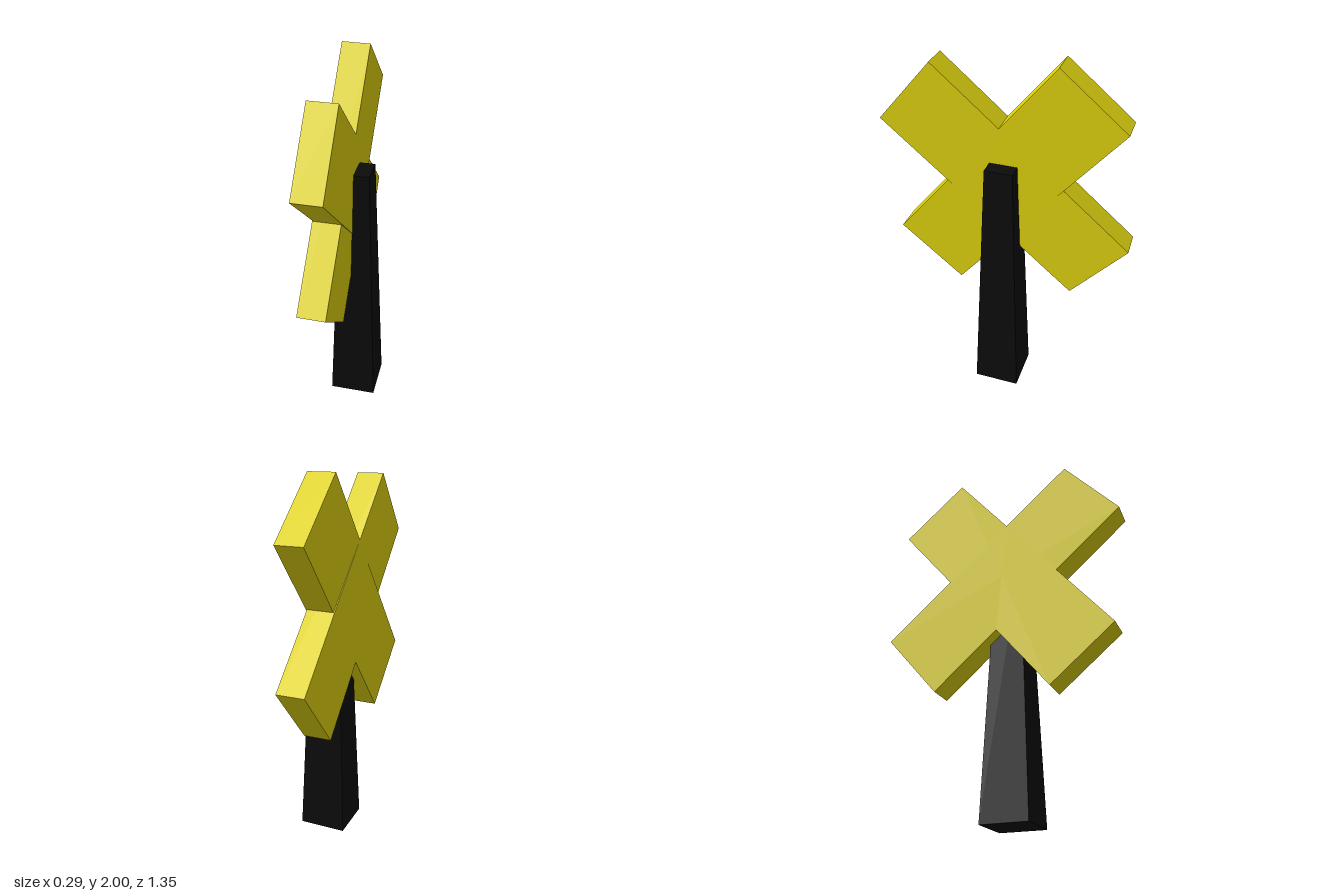
import * as THREE from 'three';

export function createModel() {
  const model = new THREE.Group();
  model.name = 'windmill';

  const yellow = new THREE.MeshStandardMaterial({ color: 0xe0d410, flatShading: true });
  const black = new THREE.MeshStandardMaterial({ color: 0x0c0c0c, flatShading: true });

  // Tapered square tower
  const height = 1.44;
  const towerGeometry = new THREE.CylinderGeometry(0.075 * Math.SQRT2, 0.128 * Math.SQRT2, height, 4);
  towerGeometry.rotateY(Math.PI / 4);
  const tower = new THREE.Mesh(towerGeometry, black);
  tower.name = 'tower';
  tower.position.set(0.017, height / 2, 0.008);
  model.add(tower);

  // Two crossed bars form the four sails, each leaning slightly along its length
  const sails = new THREE.Group();
  sails.name = 'sails';
  sails.position.set(-0.065, 1.321, 0.003);
  const barGeometry = new THREE.BoxGeometry(0.147, 1.387, 0.45);
  [-0.686, 0.858].forEach((angle, i) => {
    const bar = new THREE.Mesh(barGeometry, yellow);
    bar.name = i === 0 ? 'sailBarBack' : 'sailBarFront';
    bar.rotation.set(angle, 0, -0.0145);
    sails.add(bar);
  });
  model.add(sails);

  return model;
}
